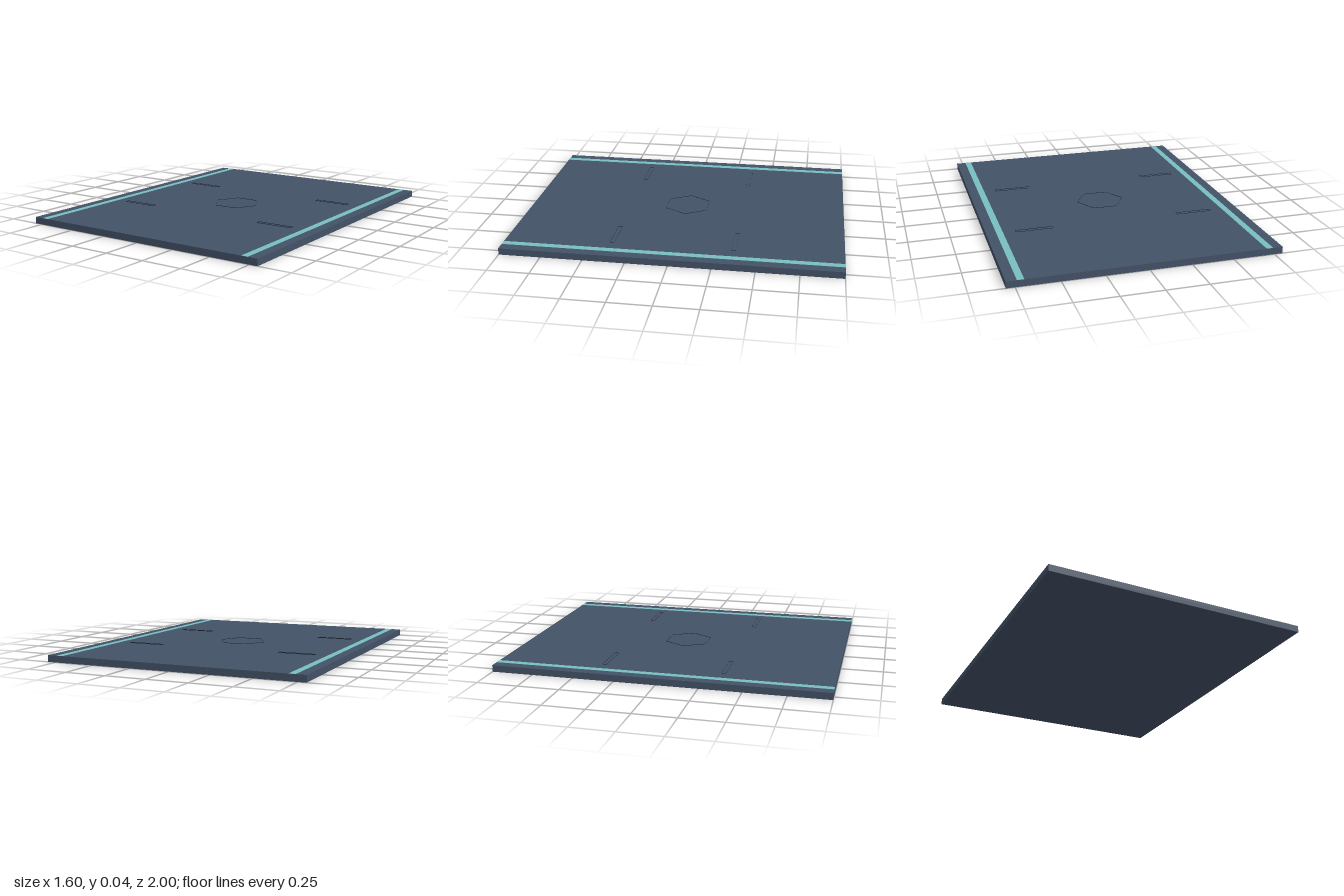
import * as THREE from 'three';

export function createModel() {
  const group = new THREE.Group();
  const slate = new THREE.MeshStandardMaterial({ color: 0x435267 });
  const teal = new THREE.MeshStandardMaterial({ color: 0x78bec0 });
  const dark = new THREE.MeshStandardMaterial({ color: 0x1c2733, side: THREE.DoubleSide });

  const thickness = 0.04;
  const relief = 0.003;

  const add = (name, geometry, material, x, y, z) => {
    const mesh = new THREE.Mesh(geometry, material);
    mesh.name = name;
    mesh.position.set(x, y, z);
    group.add(mesh);
  };

  // Floor slab
  add('slab', new THREE.BoxGeometry(1.6, thickness, 2), slate, 0, thickness / 2, 0);

  // Painted stripes along both long edges
  for (const side of [-1, 1]) {
    add('edgeStripe', new THREE.BoxGeometry(0.04, 0.001, 2), teal, side * 0.72, thickness + 0.0005, 0);
  }

  // Low hexagonal rim in the middle, with corners on the x axis
  const hexagon = new THREE.CylinderGeometry(0.15, 0.15, relief, 6, 1, true).rotateY(Math.PI / 2);
  add('centreHexagon', hexagon, dark, 0, thickness + relief / 2, 0);

  // Four narrow rectangular rims: a four-sided tube stretched to size
  const slot = new THREE.CylinderGeometry(Math.SQRT1_2, Math.SQRT1_2, relief, 4, 1, true)
    .rotateY(Math.PI / 4)
    .scale(0.23, 1, 0.026)
    .toNonIndexed();
  slot.computeVertexNormals();
  for (const x of [-0.51, 0.51]) {
    for (const z of [-0.36, 0.36]) add('slotRim', slot, dark, x, thickness + relief / 2, z);
  }

  return group;
}
